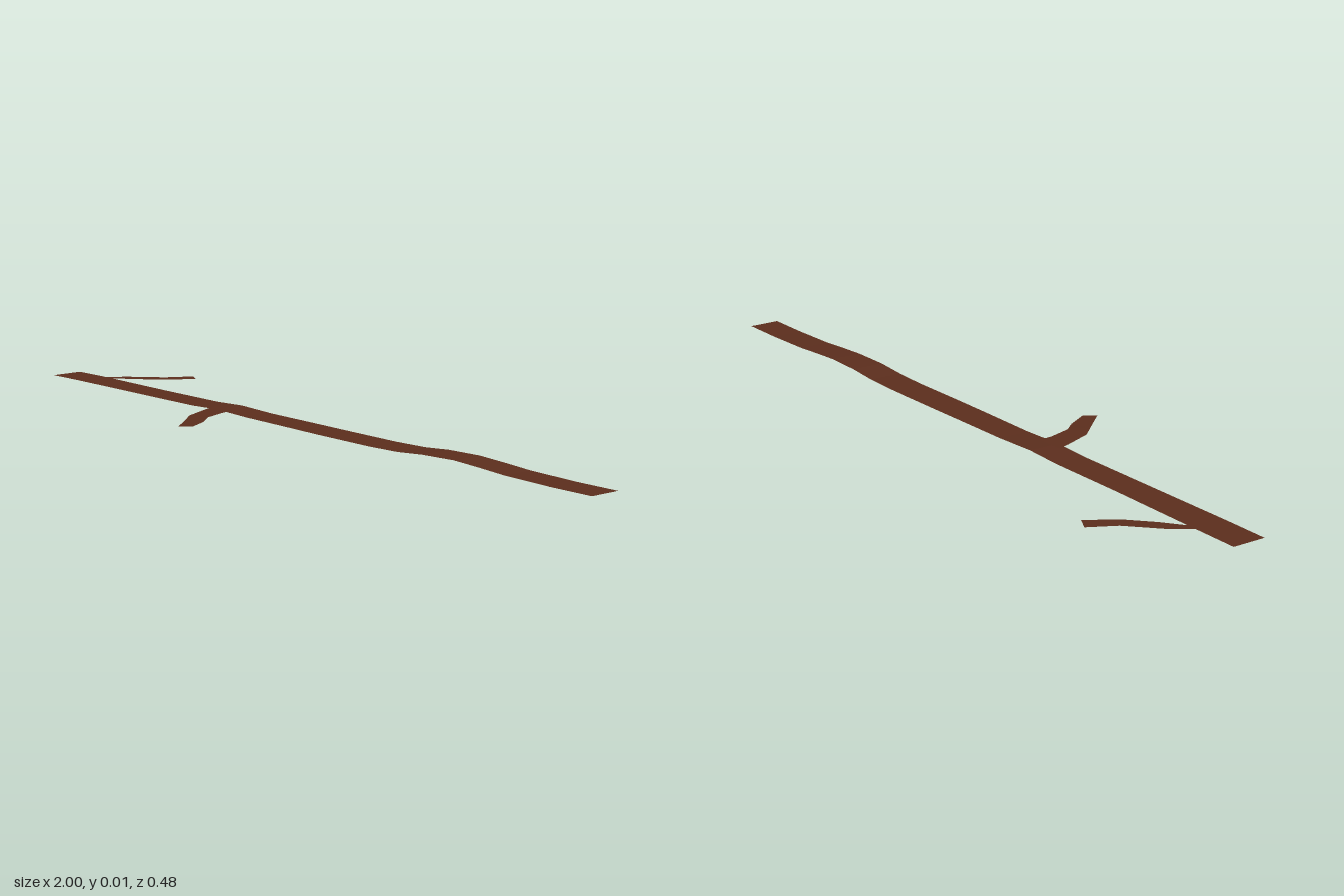
import * as THREE from 'three';

const bark = new THREE.MeshStandardMaterial({ color: 0x5c2e1d, side: THREE.DoubleSide, flatShading: true });

// Flat strip through stations [backX, backY, backZ, frontX, frontY, frontZ]
function ribbon(name, stations) {
  const pos = [], idx = [];
  stations.forEach((s, i) => {
    pos.push(...s);
    if (i) {
      const a = 2 * i - 2;
      idx.push(a, a + 1, a + 3, a, a + 3, a + 2);
    }
  });
  const g = new THREE.BufferGeometry();
  g.setAttribute('position', new THREE.Float32BufferAttribute(pos, 3));
  g.setIndex(idx);
  g.computeVertexNormals();
  const mesh = new THREE.Mesh(g, bark);
  mesh.name = name;
  return mesh;
}

export function createModel() {
  const stick = new THREE.Group();
  stick.name = 'stick';

  // Main stem: [x, height, front edge z], gently warped along its length
  const stem = [
    [-1, 0.004, 0.03], [-0.88, 0.005, 0.03], [-0.6, 0.005, 0.03], [-0.38, 0.005, 0.03],
    [-0.28, 0.009, 0.03], [-0.16, 0.005, 0.03], [0, 0.004, 0.033], [0.12, 0.003, 0.035],
    [0.3, 0.002, 0.035], [0.4, 0.004, 0.035], [0.48, 0.01, 0.034], [0.58, 0.012, 0.03],
    [0.66, 0.008, 0.03], [0.74, 0.003, 0.03], [0.88, 0, 0.03], [1, 0, 0.03],
  ];
  stick.add(ribbon('stem', stem.map(([x, y, z]) => [x, y, x < -0.87 ? -0.058 : -0.053, x, y, z])));

  // Front twig, crooked toward +x
  stick.add(ribbon('frontTwig', [
    [-0.235, 0.01, 0.01, -0.31, 0.01, 0.01],
    [-0.232, 0.009, 0.045, -0.3, 0.009, 0.045],
    [-0.211, 0.008, 0.112, -0.265, 0.007, 0.128],
    [-0.179, 0.006, 0.15, -0.227, 0.006, 0.17],
    [-0.147, 0.006, 0.209, -0.168, 0.006, 0.238],
  ]));

  // Back twig, thinner
  stick.add(ribbon('backTwig', [
    [-0.9, 0.005, -0.04, -0.83, 0.005, -0.04],
    [-0.877, 0.005, -0.06, -0.85, 0.005, -0.058],
    [-0.842, 0.005, -0.107, -0.8, 0.005, -0.096],
    [-0.767, 0.005, -0.178, -0.74, 0.005, -0.152],
    [-0.73, 0.005, -0.246, -0.692, 0.005, -0.225],
  ]));
  return stick;
}
